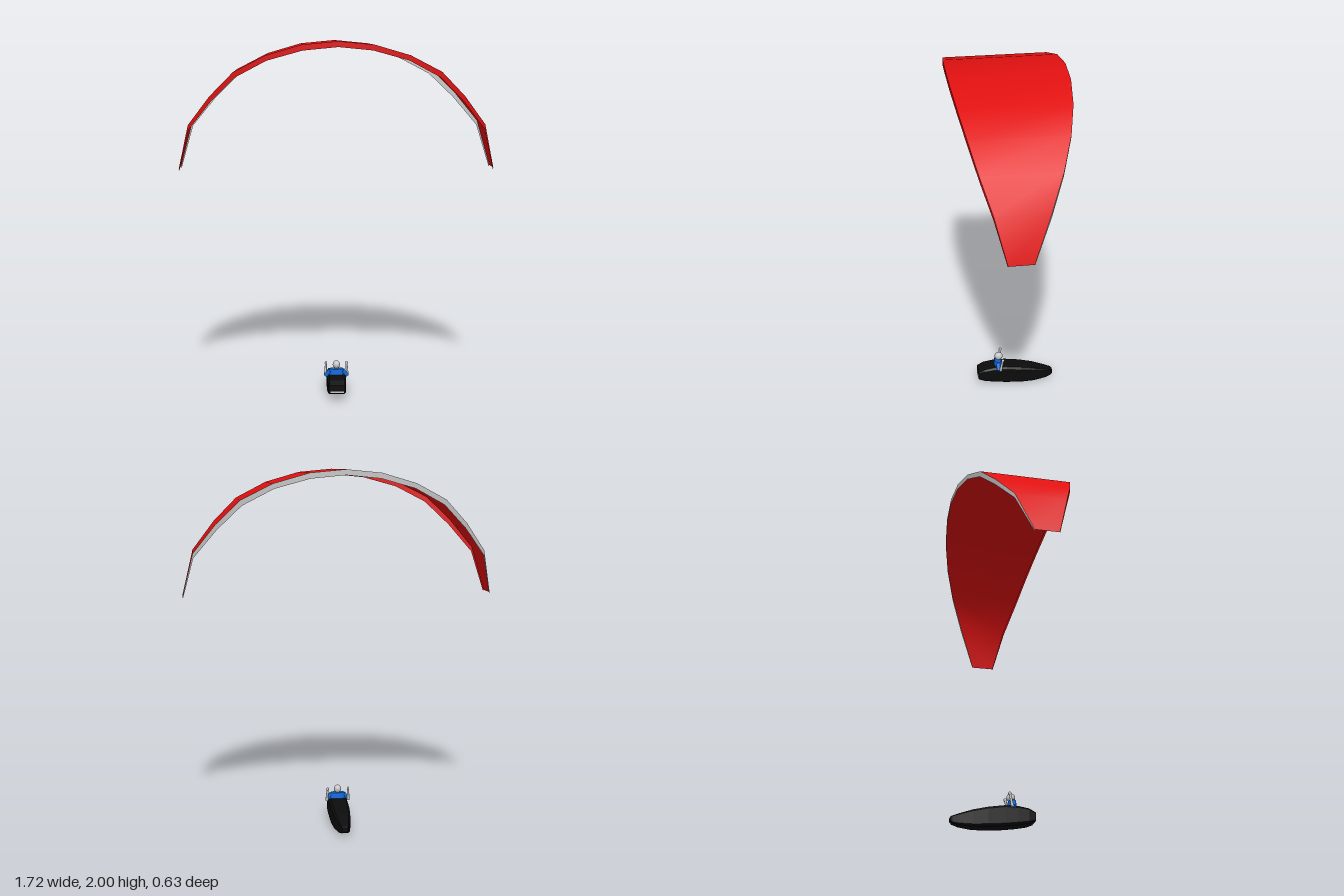
import * as THREE from 'three';

const mat = (name, color, side = THREE.FrontSide) => {
  const m = new THREE.MeshStandardMaterial({ color, side });
  m.name = name;
  return m;
};

const geometryFrom = (points, index) => {
  const g = new THREE.BufferGeometry();
  g.setAttribute('position', new THREE.Float32BufferAttribute(points.flat(), 3));
  g.setIndex(index);
  return g;
};

// Smooth strip of quads between two rows of points
function ribbon(rowA, rowB) {
  const n = rowA.length, index = [];
  for (let i = 0; i < n - 1; i++) index.push(i, i + 1, n + i, i + 1, n + i + 1, n + i);
  const g = geometryFrom([...rowA, ...rowB], index);
  g.computeVertexNormals();
  return g;
}

// Faceted hull through chamfered sections [z, bottom, top, halfWidth], front to back
function hull(sections) {
  const points = [], index = [], n = 8;
  for (const [z, b, t, w] of sections) {
    const c = Math.min(w, (t - b) / 2) * 0.22;
    points.push([w, b + c, z], [w, t - c, z], [w - c, t, z], [c - w, t, z],
      [-w, t - c, z], [-w, b + c, z], [c - w, b, z], [w - c, b, z]);
  }
  const last = (sections.length - 1) * n;
  for (let j = 0; j < n; j++) {
    const k = (j + 1) % n;
    for (let i = 0; i < last; i += n) index.push(i + j, i + n + j, i + k, i + n + j, i + n + k, i + k);
    if (j > 0 && j < n - 1) {
      index.push(0, j, k);
      index.push(last, last + k, last + j);
    }
  }
  const g = geometryFrom(points, index).toNonIndexed();
  g.computeVertexNormals();
  return g;
}

// Tapered round limb between two points
function limb(from, to, r0, r1) {
  const a = new THREE.Vector3(...from), b = new THREE.Vector3(...to);
  const d = b.clone().sub(a);
  const g = new THREE.CylinderGeometry(r1, r0, d.length(), 10);
  g.applyQuaternion(new THREE.Quaternion().setFromUnitVectors(new THREE.Vector3(0, 1, 0), d.normalize()));
  const mid = a.add(b).multiplyScalar(0.5);
  return g.translate(mid.x, mid.y, mid.z);
}

export function createModel() {
  const model = new THREE.Group();
  const red = mat('canopy red', 0xe01010, THREE.DoubleSide);
  const grey = mat('light grey', 0xc6c6c6, THREE.DoubleSide);
  const black = mat('harness black', 0x0c0c0c);
  const blue = mat('jacket blue', 0x1068d8);
  const add = (parent, name, geometry, material) => {
    const mesh = new THREE.Mesh(geometry, material);
    mesh.name = name;
    parent.add(mesh);
    return mesh;
  };

  // Canopy half span: [outer x, outer y, lip x, lip y, front z, back z]
  const half = [
    [0, 2, 0, 1.97, 0.312, -0.318],
    [0.19, 1.982, 0.185, 1.952, 0.307, -0.31],
    [0.38, 1.927, 0.373, 1.9, 0.29, -0.286],
    [0.55, 1.84, 0.54, 1.812, 0.262, -0.245],
    [0.68, 1.71, 0.672, 1.683, 0.222, -0.188],
    [0.8, 1.555, 0.797, 1.53, 0.17, -0.11],
    [0.86, 1.312, 0.857, 1.303, 0.11, -0.02],
  ];
  const mirrored = half.slice(1).reverse().map(([x, y, lx, ly, f, b]) => [-x, y, -lx, ly, f, b]);
  const span = [...mirrored, ...half];
  const frontTop = span.map(s => [s[0], s[1], s[4]]);
  const backTop = span.map(s => [s[0], s[1], s[5]]);
  const frontLip = span.map(s => [s[2], s[3], s[4]]);
  const backLip = span.map(s => [s[2], s[3], s[5]]);

  const canopy = new THREE.Group();
  canopy.name = 'canopy';
  add(canopy, 'canopySurface', ribbon(frontTop, backTop), red);
  add(canopy, 'leadingEdge', ribbon(frontLip, frontTop), red);
  add(canopy, 'trailingEdge', ribbon(backTop, backLip), grey);
  model.add(canopy);

  // Harness pod
  const harness = new THREE.Group();
  harness.name = 'harness';
  add(harness, 'pod', hull([
    [0.165, 0.046, 0.094, 0.045],
    [0.13, 0.032, 0.112, 0.051],
    [0.07, 0.02, 0.122, 0.053],
    [0, 0.01, 0.122, 0.053],
    [-0.09, 0.002, 0.108, 0.052],
    [-0.17, 0, 0.09, 0.045],
    [-0.24, 0.007, 0.068, 0.032],
    [-0.275, 0.017, 0.056, 0.022],
    [-0.285, 0.028, 0.05, 0.016],
  ]), black);
  add(harness, 'frontStrip', new THREE.BoxGeometry(0.075, 0.008, 0.004).translate(0, 0.055, 0.166), grey);
  model.add(harness);

  // Pilot
  const pilot = new THREE.Group();
  pilot.name = 'pilot';
  const torso = new THREE.CylinderGeometry(0.036, 0.045, 0.055, 14).scale(1.15, 1, 0.55);
  add(pilot, 'torso', torso.translate(0, 0.128, 0.045), blue);
  add(pilot, 'neck', limb([0, 0.15, 0.042], [0, 0.165, 0.042], 0.012, 0.012), grey);
  add(pilot, 'head', new THREE.SphereGeometry(0.022, 16, 12).scale(0.95, 1.05, 1.1).translate(0, 0.177, 0.04), grey);
  for (const s of [1, -1]) {
    add(pilot, 'upperArm', limb([s * 0.036, 0.144, 0.048], [s * 0.062, 0.113, 0.046], 0.013, 0.011), blue);
    add(pilot, 'forearm', limb([s * 0.063, 0.11, 0.036], [s * 0.059, 0.175, 0.024], 0.008, 0.006), grey);
    add(pilot, 'hand', new THREE.SphereGeometry(0.009, 10, 8).scale(0.8, 1.2, 1).translate(s * 0.059, 0.181, 0.022), grey);
  }
  model.add(pilot);
  return model;
}
